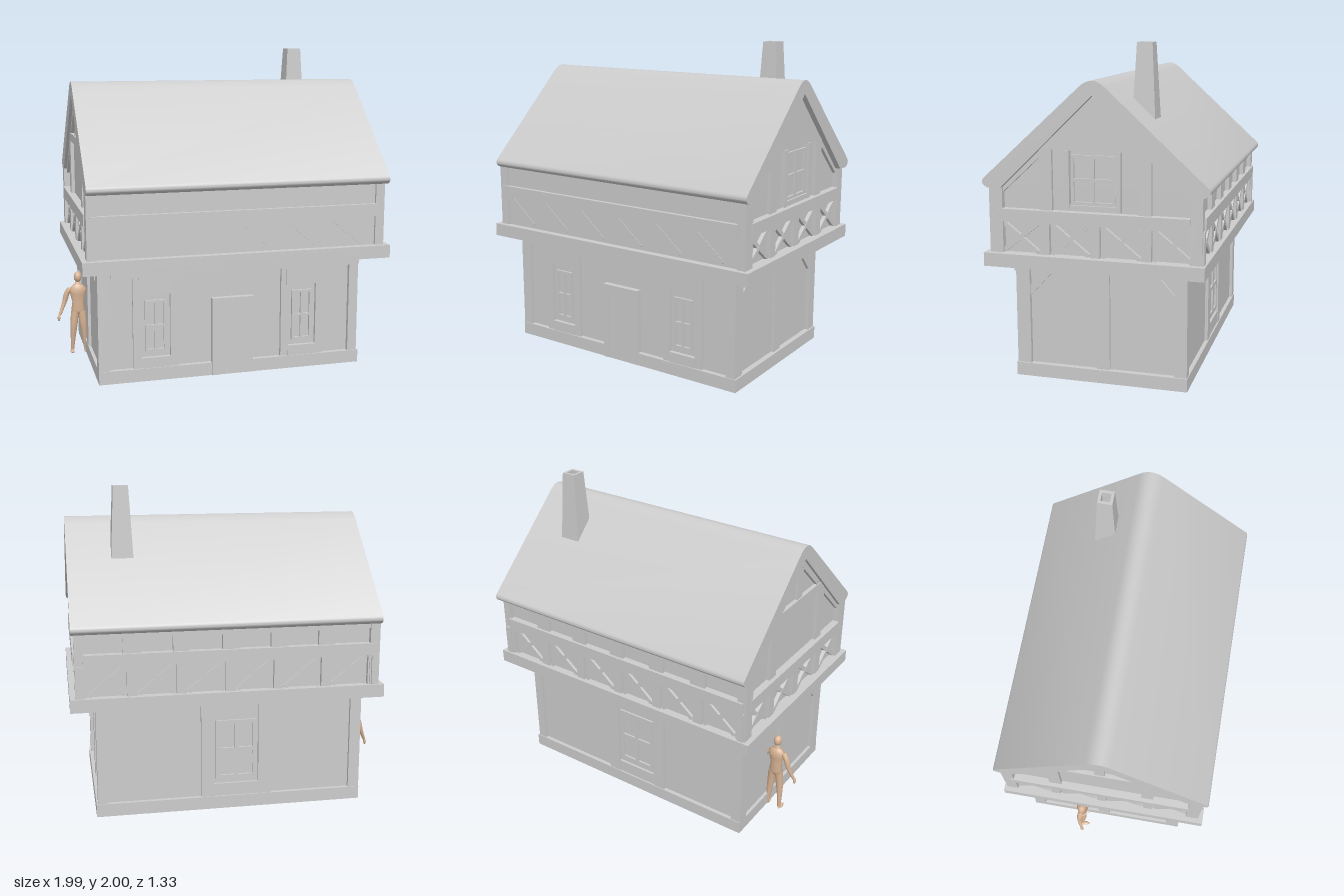
import * as THREE from 'three';
import { toCreasedNormals } from 'three/addons/utils/BufferGeometryUtils.js';

const grey = new THREE.MeshStandardMaterial({ color: 0xcccccc });
const skin = new THREE.MeshStandardMaterial({ color: 0xd9b596 });

function add(parent, name, geometry, material = grey) {
  const mesh = new THREE.Mesh(geometry, material);
  mesh.name = name;
  parent.add(mesh);
  return mesh;
}

// Box given by its limits on each axis
function box(parent, name, x0, x1, y0, y1, z0, z1) {
  const mesh = add(parent, name, new THREE.BoxGeometry(x1 - x0, y1 - y0, z1 - z0));
  mesh.position.set((x0 + x1) / 2, (y0 + y1) / 2, (z0 + z1) / 2);
  return mesh;
}

// Slanted timber between two points of a wall plane
function brace(parent, name, x0, y0, x1, y1, width, z0, z1) {
  const len = Math.hypot(x1 - x0, y1 - y0);
  const mesh = add(parent, name, new THREE.BoxGeometry(len, width, z1 - z0));
  mesh.position.set((x0 + x1) / 2, (y0 + y1) / 2, (z0 + z1) / 2);
  mesh.rotation.z = Math.atan2(y1 - y0, x1 - x0);
}

// Window frame with four panes
function windowFrame(parent, x0, x1, y0, y1, z, t = 0.014) {
  const s = new THREE.Shape();
  s.moveTo(x0, y0).lineTo(x1, y0).lineTo(x1, y1).lineTo(x0, y1).closePath();
  const w = (x1 - x0 - 3 * t) / 2, h = (y1 - y0 - 3 * t) / 2;
  for (const i of [0, 1]) for (const j of [0, 1]) {
    const a = x0 + t + i * (w + t), b = y0 + t + j * (h + t);
    const p = new THREE.Path();
    p.moveTo(a, b).lineTo(a, b + h).lineTo(a + w, b + h).lineTo(a + w, b).closePath();
    s.holes.push(p);
  }
  add(parent, 'windowFrame', new THREE.ExtrudeGeometry(s, { depth: 0.014, bevelEnabled: false })).position.z = z;
}

// Group whose local +z points out of one side of the house
function side(parent, name, angle) {
  const g = new THREE.Group();
  g.name = name;
  g.rotation.y = angle;
  parent.add(g);
  return g;
}

// Row of crossed braces between x0 and x1
function crosses(g, count, x0, x1, z0, z1) {
  const step = (x1 - x0) / count, y0 = 0.805, y1 = 0.98;
  for (let i = 0; i <= count; i++) box(g, 'railPost', x0 + i * step - 0.03, x0 + i * step + 0.03, 0.8, 0.99, z0, z1);
  for (let i = 0; i < count; i++) {
    const a = x0 + i * step + 0.04, b = a + step - 0.08;
    brace(g, 'crossBrace', a, y0, b, y1, 0.026, z0, z1 - 0.006);
    brace(g, 'crossBrace', a, y1, b, y0, 0.026, z0, z1 - 0.008);
  }
}

// Profile in the z-y plane pushed along x
function alongX(parent, name, shape, x0, x1) {
  let geo = new THREE.ExtrudeGeometry(shape, { depth: x1 - x0, bevelEnabled: false, curveSegments: 8 });
  geo = toCreasedNormals(geo.rotateY(Math.PI / 2), 0.6);
  add(parent, name, geo).position.x = x0;
}

function buildFigure() {
  const fig = new THREE.Group();
  fig.name = 'figure';
  const limb = (name, pts, radii) => {
    const curve = new THREE.CatmullRomCurve3(pts.map(p => new THREE.Vector3(...p)));
    const n = 12, m = 10, geo = new THREE.TubeGeometry(curve, n, 1, m);
    const pos = geo.attributes.position, v = new THREE.Vector3();
    // taper each ring towards the limb's centre line
    for (let i = 0; i <= n; i++) {
      const c = curve.getPointAt(i / n), f = i / n * (radii.length - 1), k = Math.min(Math.floor(f), radii.length - 2);
      const r = THREE.MathUtils.lerp(radii[k], radii[k + 1], f - k);
      for (let j = 0; j <= m; j++) {
        const q = i * (m + 1) + j;
        v.fromBufferAttribute(pos, q).sub(c).multiplyScalar(r).add(c);
        pos.setXYZ(q, v.x, v.y, v.z);
      }
    }
    geo.computeVertexNormals();
    add(fig, name, geo, skin);
  };
  const ball = (name, x, y, z, a, b, c) => {
    const mesh = add(fig, name, new THREE.SphereGeometry(1, 14, 10), skin);
    mesh.position.set(x, y, z);
    mesh.scale.set(a, b, c);
  };
  const torso = [[0, 0.255], [0.03, 0.262], [0.046, 0.29], [0.038, 0.345], [0.05, 0.4], [0.056, 0.435], [0.035, 0.458], [0.016, 0.47], [0.014, 0.495], [0, 0.5]];
  add(fig, 'torso', new THREE.LatheGeometry(torso.map(p => new THREE.Vector2(...p)), 16), skin).scale.z = 0.62;
  ball('head', 0, 0.516, 0.006, 0.025, 0.035, 0.03);
  for (const s of [-1, 1]) {
    limb('arm', [[s * 0.048, 0.438, 0], [s * 0.07, 0.41, -0.004], [s * 0.09, 0.345, -0.005], [s * 0.125, 0.262, 0.012]], [0.018, 0.018, 0.013, 0.009]);
    ball('hand', s * 0.13, 0.247, 0.016, 0.009, 0.02, 0.012);
    limb('leg', [[s * 0.022, 0.285, 0], [s * 0.03, 0.2, 0.004], [s * 0.037, 0.12, 0], [s * 0.043, 0.015, -0.008]], [0.027, 0.024, 0.017, 0.01]);
    ball('foot', s * 0.046, 0.01, 0.012, 0.014, 0.01, 0.032);
  }
  fig.position.set(-0.86, 0, -0.15);
  return fig;
}

export function createModel() {
  const house = new THREE.Group();
  house.name = 'house';

  // Main masses
  box(house, 'plinth', -0.82, 0.85, 0.01, 0.09, -0.52, 0.53);
  box(house, 'groundFloorWalls', -0.8, 0.815, 0.09, 0.72, -0.495, 0.5);
  box(house, 'jettyBeam', -0.92, 0.99, 0.72, 0.8, -0.64, 0.66);
  box(house, 'upperWalls', -0.85, 0.92, 0.8, 1.2, -0.59, 0.615);
  for (const [x0, x1] of [[-0.82, -0.75], [0.78, 0.84]])
    for (const [z0, z1] of [[-0.515, -0.44], [0.44, 0.525]]) box(house, 'cornerPost', x0, x1, 0.09, 0.72, z0, z1);
  for (const [x0, x1] of [[-0.89, -0.83], [0.9, 0.957]])
    for (const [z0, z1] of [[-0.62, -0.55], [0.55, 0.63]]) box(house, 'upperCornerPost', x0, x1, 0.8, 1.2, z0, z1);

  // Gable walls and roof
  const gable = new THREE.Shape();
  gable.moveTo(-0.58, 1.19).lineTo(0.58, 1.19).lineTo(0, 1.74).closePath();
  alongX(house, 'gableWalls', gable, -0.85, 0.92);
  const roof = new THREE.Shape();
  roof.moveTo(0.55, 1.185).lineTo(0.63, 1.182).quadraticCurveTo(0.68, 1.2, 0.655, 1.235)
    .lineTo(0.075, 1.765).quadraticCurveTo(0, 1.835, -0.075, 1.765)
    .lineTo(-0.655, 1.235).quadraticCurveTo(-0.68, 1.2, -0.63, 1.182)
    .lineTo(-0.55, 1.185).lineTo(0, 1.72).closePath();
  alongX(house, 'roof', roof, -0.89, 0.975);

  // Tapered hollow chimney
  const flue = [[0.04, 1.88], [0.04, 2], [0.064, 2], [0.1, 1.5]].map(p => new THREE.Vector2(...p));
  const chimneyGeo = new THREE.LatheGeometry(flue.reverse(), 4, Math.PI / 4).toNonIndexed();
  chimneyGeo.computeVertexNormals();
  add(house, 'chimney', chimneyGeo).position.set(0.64, 0, -0.222);
  box(house, 'chimneyFloor', 0.61, 0.67, 1.87, 1.885, -0.252, -0.192);

  // Front: door, two windows, headers
  const front = side(house, 'frontSide', 0);
  box(front, 'headerBeam', -0.74, 0.84, 0.66, 0.72, 0.49, 0.535);
  for (const c of [-0.468, 0.468]) {
    for (const s of [-1, 1]) box(front, 'windowPost', c + s * 0.115 - 0.025, c + s * 0.115 + 0.025, 0.09, 0.66, 0.49, 0.52);
    box(front, 'windowLintel', c - 0.105, c + 0.105, 0.55, 0.66, 0.49, 0.525);
    box(front, 'windowSill', c - 0.09, c + 0.09, 0.09, 0.155, 0.49, 0.525);
    windowFrame(front, c - 0.065, c + 0.065, 0.19, 0.51, 0.5);
  }
  box(front, 'doorPost', -0.12, -0.085, 0.01, 0.5, 0.49, 0.537);
  box(front, 'doorLintel', -0.085, 0.145, 0.44, 0.5, 0.49, 0.537);
  box(front, 'door', -0.085, 0.145, 0.01, 0.44, 0.49, 0.532);
  box(front, 'middleRail', -0.87, 0.91, 0.985, 1.06, 0.6, 0.64);
  for (let i = 0; i < 6; i++) brace(front, 'frontBrace', -0.8 + i * 0.285, 0.97, -0.62 + i * 0.285, 0.82, 0.025, 0.6, 0.618);

  // Back: central window and six braced bays
  const back = side(house, 'backSide', Math.PI);
  for (const s of [-1, 1]) box(back, 'windowPost', 0.02 + s * 0.18 - 0.04, 0.02 + s * 0.18 + 0.04, 0.09, 0.72, 0.48, 0.515);
  box(back, 'windowLintel', -0.13, 0.17, 0.6, 0.72, 0.48, 0.51);
  box(back, 'windowSill', -0.13, 0.17, 0.09, 0.17, 0.48, 0.51);
  windowFrame(back, -0.11, 0.15, 0.2, 0.58, 0.493, 0.024);
  box(back, 'middleRail', -0.91, 0.87, 0.985, 1.06, 0.57, 0.632);
  crosses(back, 6, -0.92, 0.85, 0.58, 0.615);
  for (let i = 1; i < 6; i++) box(back, 'upperStud', -0.97 + i * 0.295, -0.87 + i * 0.295, 1.05, 1.2, 0.58, 0.615);
  box(back, 'eavesBeam', -0.91, 0.85, 1.15, 1.2, 0.58, 0.612);

  // Both gable ends: posts, corner braces, crossed rail
  const ends = [[side(house, 'rightEnd', Math.PI / 2), 0.815, 0.92, 1], [side(house, 'leftEnd', -Math.PI / 2), 0.8, 0.85, -1]];
  for (const [g, low, high, s] of ends) {
    box(g, 'middlePost', -0.04 + s * 0.01, 0.04 + s * 0.01, 0.09, 0.72, low - 0.01, low + 0.018);
    for (const k of [-1, 1]) brace(g, 'cornerBrace', k * 0.45, 0.53, k * 0.27, 0.73, 0.045, low - 0.01, low + 0.016);
    crosses(g, 4, -0.6, 0.6, high - 0.01, high + 0.03);
    box(g, 'middleRail', -0.57, 0.55, 0.985, 1.06, high - 0.01, high + 0.046);
    for (const k of [-1, 1]) {
      brace(g, 'rafter', k * 0.58, 1.16, 0, 1.7, 0.05, high - 0.01, high + 0.02);
      box(g, 'gableStud', k * 0.29 - 0.038, k * 0.29 + 0.038, 1.06, 1.42, high - 0.01, high + 0.022);
    }
  }

  // Right gable window below a boarded peak
  const [rightEnd, , rx] = ends[0];
  const peak = new THREE.Shape();
  peak.moveTo(-0.31, 1.41).lineTo(0.31, 1.41).lineTo(0, 1.7).closePath();
  alongX(house, 'gablePeak', peak, rx - 0.01, rx + 0.022);
  for (const k of [-1, 1]) box(rightEnd, 'windowJamb', -0.01 + k * 0.15 - 0.015, -0.01 + k * 0.15 + 0.015, 1.07, 1.41, rx - 0.01, rx + 0.034);
  box(rightEnd, 'windowSill', -0.15, 0.13, 1.07, 1.1, rx - 0.01, rx + 0.03);
  windowFrame(rightEnd, -0.14, 0.12, 1.1, 1.385, rx + 0.004, 0.018);

  // Left gable collar beam
  const [leftEnd, , lx] = ends[1];
  box(leftEnd, 'collarBeam', -0.28, 0.28, 1.41, 1.46, lx - 0.01, lx + 0.025);
  box(leftEnd, 'kingPost', -0.03, 0.03, 1.46, 1.68, lx - 0.01, lx + 0.018);

  house.add(buildFigure());
  return house;
}
